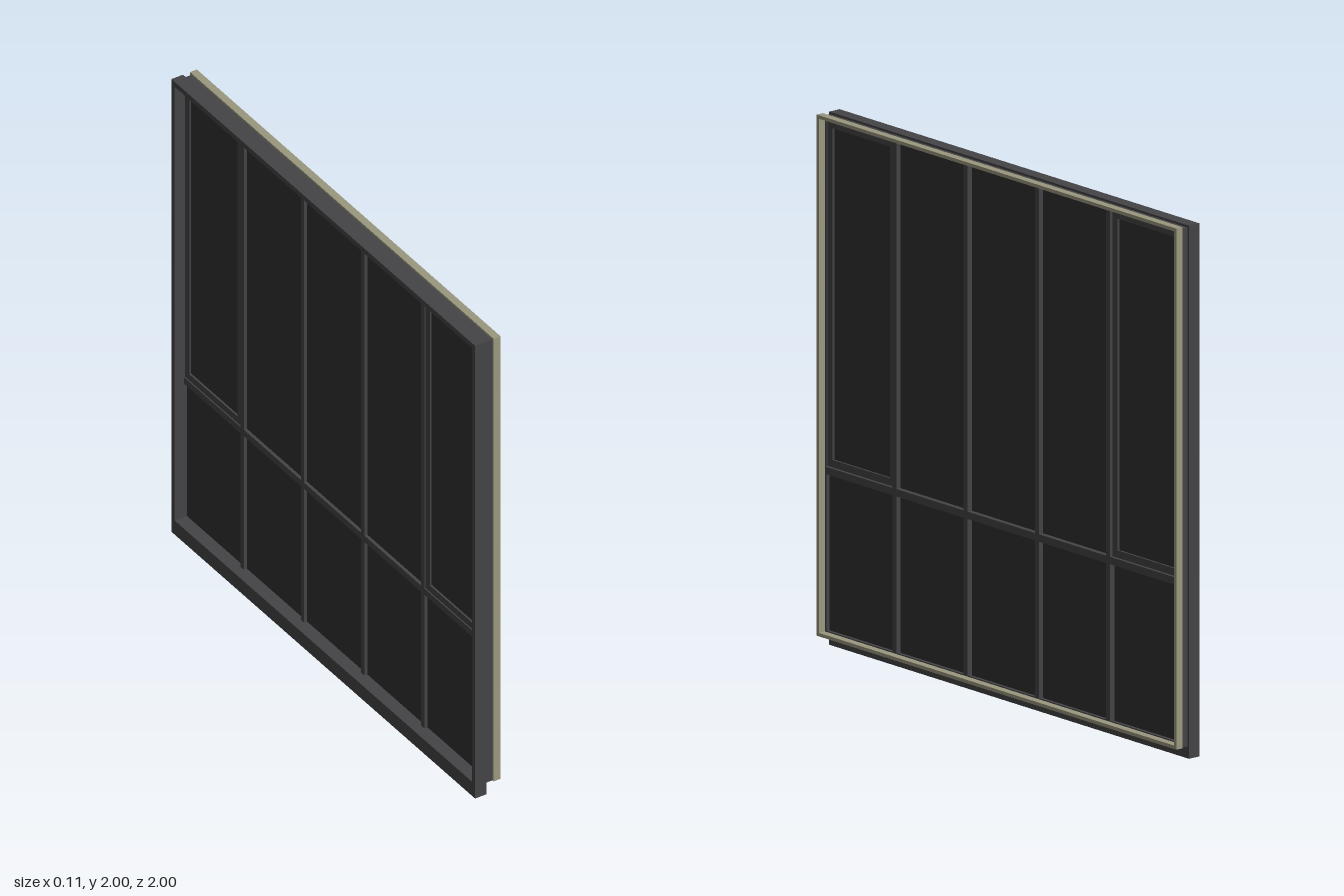
import * as THREE from 'three';

const frameMat = new THREE.MeshStandardMaterial({ color: 0x444446 });
const glassMat = new THREE.MeshStandardMaterial({ color: 0x303030 });
const trimMat = new THREE.MeshStandardMaterial({ color: 0x9b987f });

// box given by its extents along each axis
function bar(name, mat, x0, x1, y0, y1, z0, z1) {
  const mesh = new THREE.Mesh(new THREE.BoxGeometry(x1 - x0, y1 - y0, z1 - z0), mat);
  mesh.name = name;
  mesh.position.set((x0 + x1) / 2, (y0 + y1) / 2, (z0 + z1) / 2);
  return mesh;
}

// rectangular ring in the z-y plane, extruded from x0 to x1
function ring(name, mat, x0, x1, outer, inner) {
  const corners = ([y0, y1, z0, z1]) =>
    [[-z1, y0], [-z0, y0], [-z0, y1], [-z1, y1]].map(p => new THREE.Vector2(...p));
  const shape = new THREE.Shape(corners(outer));
  shape.holes.push(new THREE.Path(corners(inner)));
  const geo = new THREE.ExtrudeGeometry(shape, { depth: x1 - x0, bevelEnabled: false });
  geo.rotateY(Math.PI / 2);
  const mesh = new THREE.Mesh(geo, mat);
  mesh.name = name;
  mesh.position.x = x0;
  return mesh;
}

export function createModel() {
  const group = new THREE.Group();
  group.name = 'window';

  // stepped outer frame: wide rear part, slightly smaller front part
  const opening = [0.062, 1.978, -0.979, 0.979];
  group.add(ring('outerFrame', frameMat, -0.055, -0.005, [0, 2, -1, 1], opening));
  group.add(ring('frameStep', frameMat, -0.005, 0.025, [0.045, 1.992, -0.992, 0.992], opening));

  // pale trim around the front
  group.add(ring('trim', trimMat, 0.025, 0.055, [0.045, 2, -1, 1], [0.058, 1.987, -0.987, 0.987]));

  // mullions and transom
  const mullions = [-0.594, -0.198, 0.198, 0.594];
  for (const z of mullions)
    group.add(bar('mullion', frameMat, -0.015, 0.032, 0.062, 1.978, z - 0.011, z + 0.011));
  const edges = [-0.979, ...mullions, 0.979];
  for (let i = 0; i < 5; i++) {
    const z0 = edges[i] + (i > 0 ? 0.011 : 0);
    const z1 = edges[i + 1] - (i < 4 ? 0.011 : 0);
    group.add(bar('transom', frameMat, -0.015, 0.032, 0.652, 0.68, z0, z1));

    // glazing of this bay
    group.add(bar('lowerPane', glassMat, -0.002, 0.012, 0.062, 0.652, z0, z1));
    group.add(bar('upperPane', glassMat, -0.002, 0.012, 0.68, 1.978, z0, z1));

    // opening sashes in the two end bays
    if (i === 0 || i === 4)
      group.add(ring('sash', frameMat, -0.01, 0.02, [0.68, 1.978, z0, z1],
        [0.708, 1.952, z0 + 0.028, z1 - 0.028]));
  }
  return group;
}
